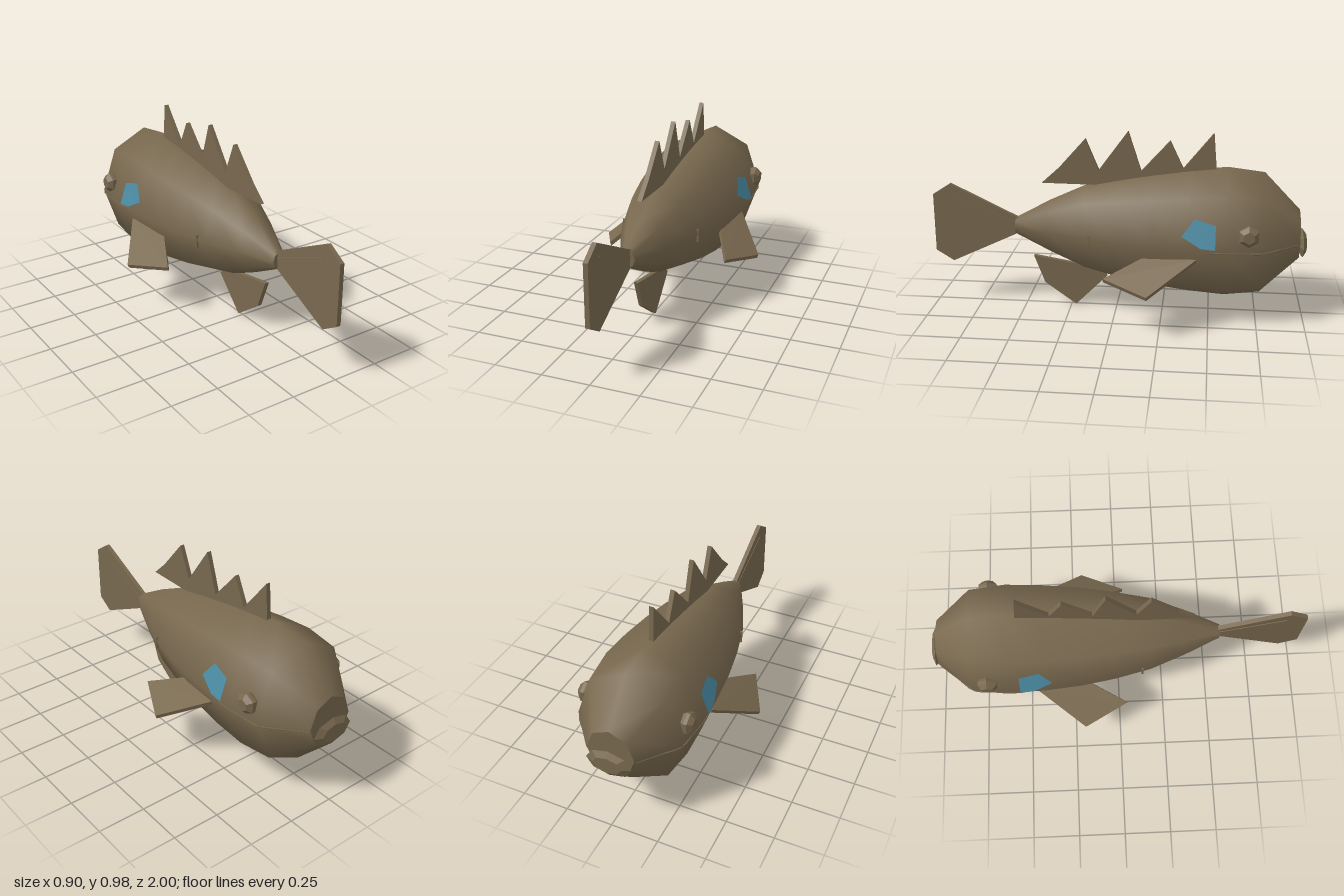
import * as THREE from 'three';
import { ConvexGeometry } from 'three/addons/geometries/ConvexGeometry.js';

const SIDES = 8;
// Body stations from head to tail: z, top y, bottom y, half width
const STATIONS = [
  [-0.96, 0.585, 0.31, 0.125], [-0.77, 0.782, 0.115, 0.28], [-0.58, 0.805, 0.09, 0.3],
  [-0.39, 0.785, 0.105, 0.294], [-0.2, 0.757, 0.13, 0.275], [-0.02, 0.725, 0.165, 0.245],
  [0.17, 0.685, 0.215, 0.2], [0.36, 0.597, 0.302, 0.125], [0.55, 0.492, 0.4, 0.037],
];

// Half width of the body at a given z and y
function bodyX(z, y) {
  let i = 0;
  while (i < STATIONS.length - 2 && STATIONS[i + 1][0] < z) i++;
  const a = STATIONS[i], b = STATIONS[i + 1];
  const t = THREE.MathUtils.clamp((z - a[0]) / (b[0] - a[0]), 0, 1);
  const [top, low, half] = [1, 2, 3].map((k) => a[k] + (b[k] - a[k]) * t);
  const v = Math.abs(y - (top + low) / 2) / ((top - low) / 2);
  return half * (v < 0.707 ? 1 - 0.414 * v : Math.max(0, 2.414 * (1 - v)));
}

// Eight-sided smooth loft with flat end caps
function bodyGeometry() {
  const pos = [], index = [];
  const addRing = ([z, top, low, half]) => {
    const start = pos.length / 3;
    for (let j = 0; j < SIDES; j++) {
      const a = (j / SIDES) * Math.PI * 2;
      pos.push(half * Math.sin(a), (top + low) / 2 + ((top - low) / 2) * Math.cos(a), z);
    }
    return start;
  };
  const rings = STATIONS.map(addRing);
  for (let i = 0; i < rings.length - 1; i++) {
    for (let j = 0; j < SIDES; j++) {
      const k = (j + 1) % SIDES;
      const p = rings[i] + j, q = rings[i] + k, r = rings[i + 1] + j, s = rings[i + 1] + k;
      index.push(p, r, q, q, r, s);
    }
  }
  for (const [st, head] of [[STATIONS[0], true], [STATIONS[STATIONS.length - 1], false]]) {
    const ring = addRing(st), centre = pos.length / 3;
    pos.push(0, (st[1] + st[2]) / 2, st[0]);
    for (let j = 0; j < SIDES; j++) {
      const k = (j + 1) % SIDES;
      index.push(centre, ring + (head ? j : k), ring + (head ? k : j));
    }
  }
  const g = new THREE.BufferGeometry();
  g.setAttribute('position', new THREE.Float32BufferAttribute(pos, 3));
  g.setIndex(index);
  g.computeVertexNormals();
  return g;
}

const outline = (pts) => new THREE.Shape(pts.map(([z, y]) => new THREE.Vector2(z, y)));

// Flat plate on the centre plane from a (z, y) outline
function plate(pts, thick = 0.024) {
  const g = new THREE.ExtrudeGeometry(outline(pts), { depth: thick, bevelEnabled: false });
  g.rotateY(-Math.PI / 2);
  g.translate(thick / 2, 0, 0);
  return g;
}

// Faceted turned form
function facetedLathe(profile, sides) {
  const g = new THREE.LatheGeometry(profile.map(([r, y]) => new THREE.Vector2(r, y)), sides).toNonIndexed();
  g.computeVertexNormals();
  return g;
}

// Thin plate lying on the flank
function flankPatch(pts, side, lift) {
  const g = new THREE.ShapeGeometry(outline(pts));
  const p = g.attributes.position;
  for (let i = 0; i < p.count; i++) {
    const z = p.getX(i), y = p.getY(i);
    p.setXYZ(i, side * (bodyX(z, y) + lift), y, z);
  }
  g.computeVertexNormals();
  return g;
}

export function createModel() {
  const brown = new THREE.MeshStandardMaterial({ color: 0x78684e });
  brown.name = 'scale brown';
  const blue = new THREE.MeshStandardMaterial({ color: 0x4a8aa2, side: THREE.DoubleSide });
  blue.name = 'cheek blue';

  const fish = new THREE.Group();
  fish.name = 'fish';
  const add = (name, geometry, material = brown) => {
    const m = new THREE.Mesh(geometry, material);
    m.name = name;
    fish.add(m);
    return m;
  };

  add('body', bodyGeometry());

  // Centre-line fins
  add('dorsalFin', plate([
    [0.4, 0.693], [0.31, 0.775], [0.166, 0.937], [0.096, 0.77], [-0.059, 0.982], [-0.128, 0.77],
    [-0.278, 0.936], [-0.348, 0.79], [-0.503, 0.982], [-0.524, 0.75], [-0.1, 0.69], [0.07, 0.69],
  ]));
  add('analFin', plate([[0.455, 0.28], [0.396, 0.125], [0.225, 0.003], [0.053, 0.176], [0.1, 0.22]]));
  add('tailFin', plate([
    [0.53, 0.49], [0.904, 0.672], [1, 0.61], [1, 0.292], [0.904, 0.233], [0.53, 0.41],
  ]));
  add('tailRib', plate([[0.53, 0.445], [0.53, 0.458], [0.89, 0.603], [0.89, 0.597]], 0.03));

  // Lips
  const lips = facetedLathe([[0, -0.02], [0.62, -0.02], [1, 0], [0.62, 0.02], [0, 0.02]], 8);
  lips.rotateX(Math.PI / 2);
  lips.scale(0.12, 0.075, 1);
  lips.computeVertexNormals();
  add('lips', lips).position.set(0, 0.405, -0.98);

  for (const s of [1, -1]) {
    const side = s > 0 ? 'left' : 'right';

    // Eye
    const eye = facetedLathe([[0.045, 0.24], [0.056, 0.265], [0.056, 0.283], [0.032, 0.306], [0, 0.306]], 6);
    eye.rotateY(Math.PI / 2);
    eye.rotateZ((-s * Math.PI) / 2);
    add(side + 'Eye', eye).position.set(0, 0.52, -0.69);

    // Pectoral fin: slanted four-cornered slab
    const top = [[0.28, 0.388, -0.43], [0.45, 0.243, -0.19], [0.335, 0.288, 0.04], [0.222, 0.389, -0.19]];
    const corners = top.flatMap(([x, y, z]) => [
      new THREE.Vector3(s * x, y, z), new THREE.Vector3(s * (x - 0.008), y - 0.02, z),
    ]);
    add(side + 'PectoralFin', new ConvexGeometry(corners));

    // Cheek patch
    add(side + 'CheekPatch', flankPatch([
      [-0.417, 0.594], [-0.524, 0.567], [-0.524, 0.45], [-0.45, 0.455], [-0.353, 0.508],
    ], s, 0.006), blue);

    // Mouth line hugging the head
    const path = [-0.5, -0.58, -0.68, -0.77, -0.86, -0.95].map((z) =>
      new THREE.Vector3(s * bodyX(z, 0.432), 0.432, z));
    add(side + 'MouthLine', new THREE.TubeGeometry(new THREE.CatmullRomCurve3(path), 15, 0.005, 4));

    // Small flank ridge
    const ridge = add(side + 'FlankRidge', new THREE.BoxGeometry(0.012, 0.07, 0.01));
    ridge.position.set(s * bodyX(0.125, 0.44), 0.44, 0.125);
  }
  return fish;
}
